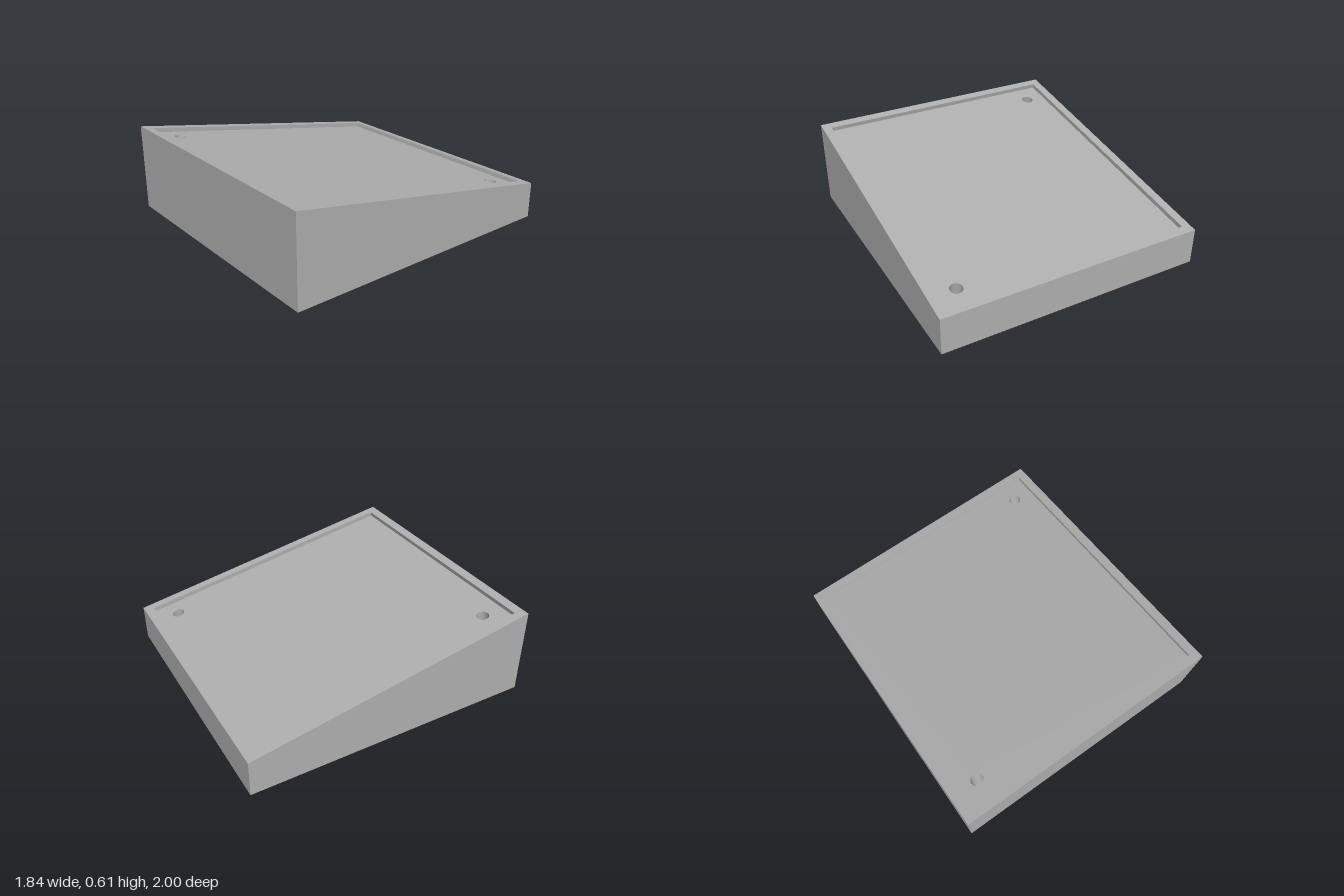
import * as THREE from 'three';

const W = 0.92, FRONT = 0.605, BACK = 0.252;
const TILT = Math.atan((FRONT - BACK) / 2);
const RECESS = 0.03, HOLE_DEPTH = 0.21, HOLE_R = 0.042;

const rect = (x, y) => [[-x, -y], [x, -y], [x, y], [-x, y]].map(p => new THREE.Vector2(...p));

export function createModel() {
  const grey = new THREE.MeshStandardMaterial({ color: 0xb0b0b0, side: THREE.DoubleSide });
  grey.name = 'plain grey';
  const model = new THREE.Group();
  model.name = 'slopedTray';

  const add = (parent, name, geometry) => {
    const mesh = new THREE.Mesh(geometry, grey);
    mesh.name = name;
    parent.add(mesh);
    return mesh;
  };

  // flat-sided band between two loops of points, facing outward for a loop seen anticlockwise from above
  const band = (lower, upper) => {
    const pos = [];
    lower.forEach((a, i) => {
      const j = (i + 1) % lower.length;
      for (const p of [a, lower[j], upper[j], a, upper[j], upper[i]]) pos.push(p.x, p.y, p.z);
    });
    const g = new THREE.BufferGeometry();
    g.setAttribute('position', new THREE.Float32BufferAttribute(pos, 3));
    g.computeVertexNormals();
    return g;
  };

  // upright outer walls and base
  const foot = rect(W, 1);
  const at = (p, y) => new THREE.Vector3(p.x, y, -p.y);
  add(model, 'outerWalls', band(
    foot.map(p => at(p, 0)),
    foot.map(p => at(p, p.y < 0 ? FRONT : BACK))));
  add(model, 'base', new THREE.ShapeGeometry(new THREE.Shape(foot)).rotateX(Math.PI / 2));

  // everything on the slope is built flat, then tilted
  const slope = new THREE.Group();
  slope.name = 'slopedTop';
  slope.position.y = (FRONT + BACK) / 2;
  slope.rotation.x = -TILT;
  model.add(slope);
  const cos = Math.cos(TILT), sin = Math.sin(TILT);
  const panel = (outline, holes, y) => {
    const s = new THREE.Shape(outline);
    s.holes = holes.map(h => new THREE.Path(h));
    return new THREE.ShapeGeometry(s).rotateX(-Math.PI / 2).translate(0, y, 0);
  };

  // rim, recess walls and recessed panel
  const inner = rect(0.86, 0.94 / cos);
  add(slope, 'rim', panel(rect(W, 1 / cos), [inner], 0));
  add(slope, 'recessWalls', band(inner.map(p => at(p, 0)), inner.map(p => at(p, -RECESS))));

  // two blind holes in opposite corners
  const circles = [[0.72, -0.8], [-0.72, 0.8]].map(([x, z]) => {
    const v = (z - RECESS * sin) / cos;
    return new THREE.Path().absarc(x, -v, HOLE_R, 0, Math.PI * 2).getPoints(16).slice(0, -1);
  });
  add(slope, 'recessedPanel', panel(inner, circles, -RECESS));
  const bottom = -RECESS - HOLE_DEPTH;
  circles.forEach((c, i) => {
    const side = i ? 'Right' : 'Left';
    add(slope, 'holeWall' + side, band(c.map(p => at(p, -RECESS)), c.map(p => at(p, bottom))));
    add(slope, 'holeFloor' + side, panel(c, [], bottom));
  });
  return model;
}
